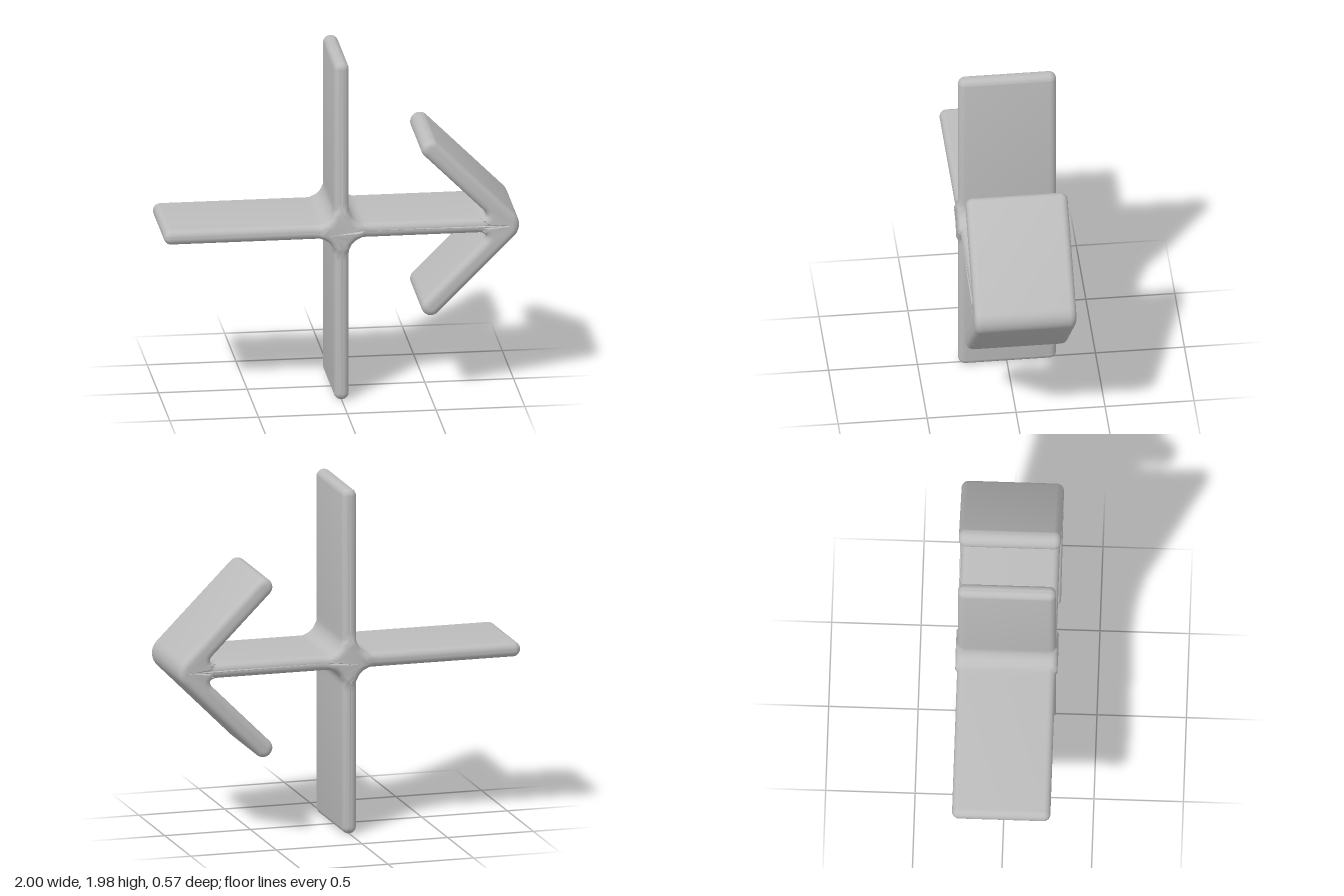
import * as THREE from 'three';
import { toCreasedNormals } from 'three/addons/utils/BufferGeometryUtils.js';

const T = 0.042;   // half thickness of the blades
const HALF = 0.275; // half depth
const BEVEL = 0.038;

// Closed outline whose corners [x, y, d] are rounded over the distance d
function roundedOutline(corners) {
  const shape = new THREE.Shape();
  const n = corners.length;
  const pts = corners.map(([x, y]) => new THREE.Vector2(x, y));
  const toward = (a, b, d) => a.clone().add(b.clone().sub(a).setLength(d));
  corners.forEach(([, , d], i) => {
    const p = pts[i], prev = pts[(i + n - 1) % n], next = pts[(i + 1) % n];
    const start = toward(p, prev, d);
    if (i === 0) shape.moveTo(start.x, start.y);
    else shape.lineTo(start.x, start.y);
    if (d === 0) return;
    const c1 = toward(p, prev, d * 0.45), c2 = toward(p, next, d * 0.45), end = toward(p, next, d);
    shape.bezierCurveTo(c1.x, c1.y, c2.x, c2.y, end.x, end.y);
  });
  shape.closePath();
  return shape;
}

export function createModel() {
  const grey = new THREE.MeshStandardMaterial({ color: 0xbcbcbc });
  grey.name = 'grey';

  // Upper half of the outline, from the left end to the arrow tip
  const upper = [
    [-1, T, 0.041],
    [-0.17, T, 0],
    [-T, T, 0.09],
    [-T, 0.17, 0],
    [-T, 0.992, 0.041],
    [T, 0.992, 0.041],
    [T, 0.17, 0],
    [T, T, 0.09],
    [0.17, T, 0],
    [0.76, T, 0],
    [0.848, T, 0.07],
    [0.428, 0.462, 0.052],
    [0.503, 0.537, 0.052],
  ];
  const lower = upper.map(([x, y, d]) => [x, -y, d]).reverse();
  const outline = roundedOutline([...upper, [1.04, 0, 0.097], ...lower]);

  const extruded = new THREE.ExtrudeGeometry(outline, {
    depth: 2 * (HALF - BEVEL),
    curveSegments: 10,
    bevelThickness: BEVEL,
    bevelSize: BEVEL,
    bevelOffset: -BEVEL,
    bevelSegments: 6,
  });
  extruded.translate(0, 0, BEVEL - HALF);

  // Slight swelling in depth at the crossing and over the arrowhead
  const pos = extruded.attributes.position;
  for (let i = 0; i < pos.count; i++) {
    const x = pos.getX(i), y = pos.getY(i);
    const atHub = Math.hypot(x, y) < 0.12;
    const atHead = x > 0.42 && x + Math.abs(y) > 0.83;
    if (atHub || atHead) pos.setZ(i, pos.getZ(i) * 1.04);
  }

  const body = new THREE.Mesh(toCreasedNormals(extruded, 0.7), grey);
  body.name = 'crossWithArrow';
  body.position.set(0, 1, -0.003);

  const model = new THREE.Group();
  model.name = 'directionCross';
  model.add(body);
  return model;
}
